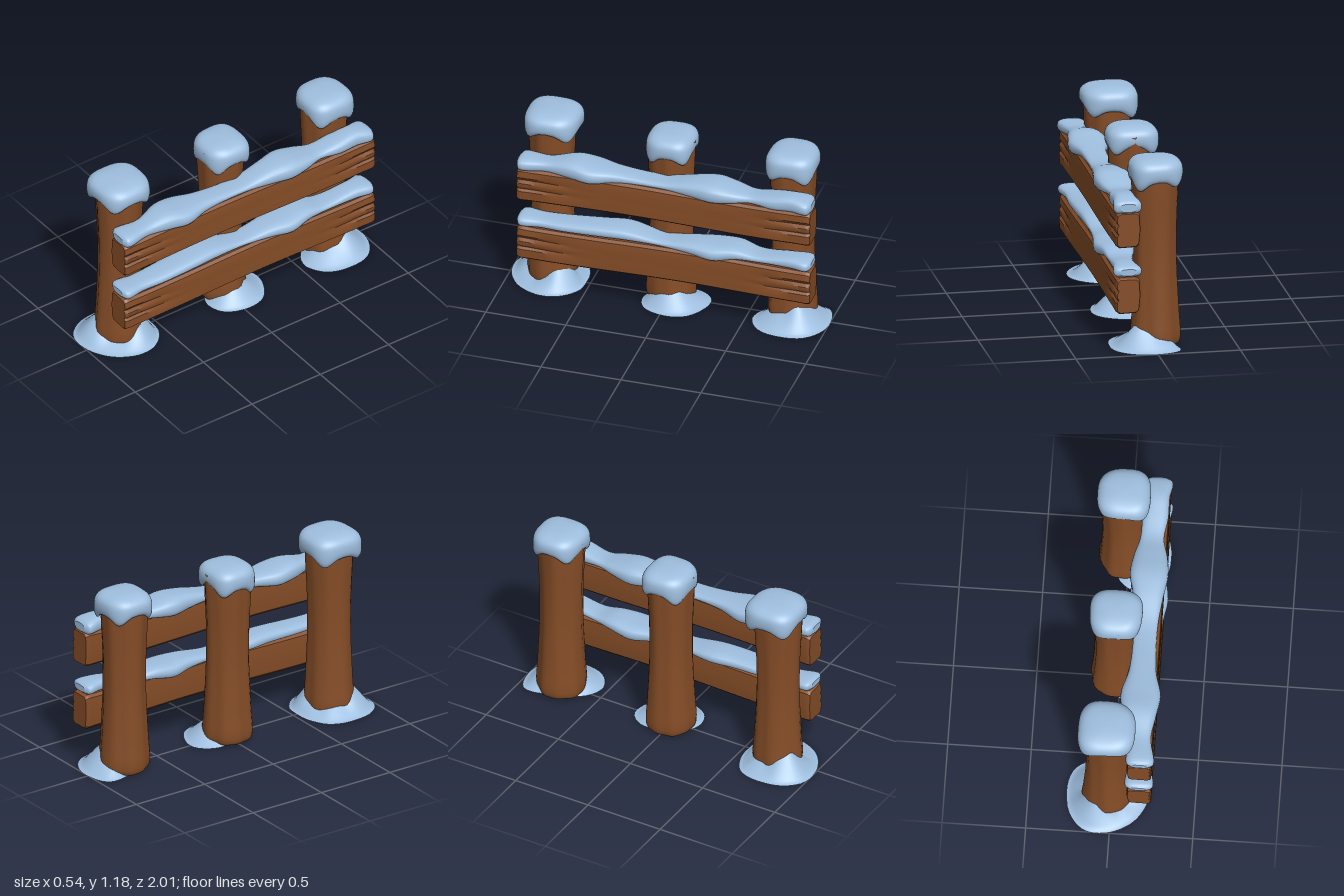
import * as THREE from 'three';
import { toCreasedNormals } from 'three/addons/utils/BufferGeometryUtils.js';

const V = (x, y, z) => new THREE.Vector3(x, y, z);
const TAU = Math.PI * 2;

// Smooth skin through closed cross-sections, resampled to n rings, ends closed by fans
function loft(sections, n, crease) {
  const m = sections[0].length;
  const columns = sections[0].map((_, j) =>
    new THREE.CatmullRomCurve3(sections.map((s) => s[j]), false, 'centripetal'));
  const pts = [], index = [];
  for (let i = 0; i <= n; i++) {
    for (let j = 0; j < m; j++) {
      pts.push(columns[j].getPoint(i / n));
      if (i < n) {
        const a = i * m + j, b = i * m + (j + 1) % m;
        index.push(a, b, a + m, b, b + m, a + m);
      }
    }
  }
  for (const [ring, flip] of [[0, true], [n, false]]) {
    const rim = pts.slice(ring * m, ring * m + m);
    const centre = rim.reduce((s, p) => s.add(p), V(0, 0, 0)).divideScalar(m);
    const start = pts.length;
    pts.push(...rim, centre);
    for (let j = 0; j < m; j++) {
      const a = start + j, b = start + (j + 1) % m;
      index.push(...(flip ? [b, a, start + m] : [a, b, start + m]));
    }
  }
  // Turn the faces outward when the enclosed volume comes out negative
  let volume = 0;
  for (let k = 0; k < index.length; k += 3) {
    volume += pts[index[k]].dot(V(0, 0, 0).crossVectors(pts[index[k + 1]], pts[index[k + 2]]));
  }
  if (volume < 0) index.reverse();
  const geo = new THREE.BufferGeometry().setFromPoints(pts);
  geo.setIndex(index);
  geo.computeVertexNormals();
  return crease ? toCreasedNormals(geo, crease) : geo;
}

// Ring of m points from a rule of the angle
const ring = (m, rule) => Array.from({ length: m }, (_, j) => rule(j / m * TAU));

// Superellipse coordinate, from round (1) to boxy (towards 0)
const sq = (v, p) => Math.sign(v) * Math.abs(v) ** p;

// Tree-trunk post, narrow at the waist with shallow flutes
function postGeometry(phase) {
  const profile = [[0, 0.115], [0.012, 0.138], [0.05, 0.149], [0.2, 0.142], [0.5, 0.129],
    [0.75, 0.13], [0.95, 0.139], [1.1, 0.145]];
  return loft(profile.map(([y, r]) => ring(40, (a) => {
    const k = r * (1 + 0.025 * Math.sin(5 * a + phase + y) + 0.018 * Math.sin(9 * a + 2 * phase - y * 1.5));
    return V(Math.cos(a) * k, y, Math.sin(a) * k);
  })), 28);
}

// Boxy snow cap whose rim droops at the corners
function capGeometry(w, d, top, phase) {
  // [height below the top, scale, droop share]
  const profile = [[0.13, 0.7, 0.9], [0.155, 0.87, 1], [0.135, 0.97, 0.9], [0.085, 1, 0.4],
    [0.045, 0.95, 0.1], [0.018, 0.78, 0], [0.004, 0.45, 0], [0, 0.08, 0]];
  return loft(profile.map(([down, s, droop]) => ring(40, (a) => {
    const wave = 0.024 * Math.cos(4 * a) + 0.012 * Math.sin(a + phase);
    const bump = 1 + 0.02 * Math.sin(3 * a + phase);
    return V(sq(Math.cos(a), 0.68) * w * s * bump, top - down + wave * droop,
      sq(Math.sin(a), 0.68) * d * s * bump);
  })), 22);
}

// Snow drift around a post: [reach, height at the post] every 30 degrees from +x towards +z
function moundGeometry(table) {
  const curve = new THREE.CatmullRomCurve3(table.map(([r, h]) => V(r, h, 0)), true);
  const steps = [[0, 0], [0.02, 0.1], [0.3, 0.36], [0.6, 0.68], [0.85, 0.93], [1, 1]];
  return loft(steps.map(([out, fall]) => ring(48, (a) => {
    const p = curve.getPoint(a / TAU);
    const inner = Math.min(0.115, p.x * 0.9);
    const r = out === 0 ? 0.02 : inner + (p.x - inner) * out;
    return V(Math.cos(a) * r, Math.max(0, p.y * (1 - fall)), Math.sin(a) * r);
  }).reverse()), 14);
}

// Plank with rounded edges, and splits in the outer face near both ends
function boardGeometry(y0, phase) {
  const face = [[0.1, 0.205], [0.12, 0.22], [0.22, 0.22], [0.238, 0.205], [0.243, 0.165],
    [0.23, 0.145], [0.243, 0.125], [0.242, 0.1], [0.231, 0.085], [0.243, 0.07], [0.241, 0.015],
    [0.222, 0], [0.12, 0.003], [0.103, 0.02], [0.094, 0.11]];
  const splits = [5, 8];
  const zs = [-0.943, -0.93, -0.85, -0.7, -0.5, -0.2, 0.1, 0.4, 0.65, 0.8, 0.875, 0.888];
  return loft(zs.map((z, i) => {
    const end = i === 0 || i === zs.length - 1;
    const s = end ? 0.93 : 1;
    const fade = Math.min(1, Math.max(0, (Math.abs(z + 0.03) - 0.5) / 0.3));
    const wave = 0.006 * Math.sin(4 * z + phase);
    return face.map(([x, y], j) => {
      const px = splits.includes(j) ? THREE.MathUtils.lerp(0.242, x, fade) : x;
      return V(0.168 + (px - 0.168) * s, y0 + 0.11 + (y - 0.11) * s + wave, z);
    });
  }), 44, 0.6);
}

// Snow lying on a plank, sections [z, inner x, outer x, bottom, top]
function railSnowGeometry(rows) {
  const first = rows[0], last = rows[rows.length - 1];
  const end = ([z, a, b, lo, hi], dz) =>
    [z + dz, a + (b - a) * 0.2, b - (b - a) * 0.2, lo + (hi - lo) * 0.2, hi - (hi - lo) * 0.2];
  return loft([end(first, -0.022), ...rows, end(last, 0.022)].map(([z, a, b, lo, hi]) =>
    ring(24, (t) => V((a + b) / 2 + sq(Math.cos(t), 0.7) * (b - a) / 2,
      (lo + hi) / 2 + sq(Math.sin(t), 0.75) * (hi - lo) / 2, z))), 60);
}

export function createModel() {
  const wood = new THREE.MeshStandardMaterial({ color: 0x854d27 });
  wood.name = 'brown wood';
  const snow = new THREE.MeshStandardMaterial({ color: 0x9fbfdf });
  snow.name = 'pale blue snow';

  const model = new THREE.Group();
  model.name = 'snowyFence';
  const add = (parent, name, geometry, material, x = 0, z = 0) => {
    const mesh = new THREE.Mesh(geometry, material);
    mesh.name = name;
    mesh.position.set(x, 0, z);
    parent.add(mesh);
  };

  // Three posts with caps and drifts
  const posts = [
    { name: 'front', z: 0.745, cap: [0.172, 0.17, 1.183], capX: -0.008, mound: [
      [0.25, 0.1], [0.24, 0.05], [0.24, 0.06], [0.255, 0.12], [0.275, 0.18], [0.26, 0.15],
      [0.245, 0.09], [0.25, 0.09], [0.23, 0.07], [0.22, 0.09], [0.24, 0.17], [0.25, 0.17]] },
    { name: 'middle', z: 0, cap: [0.158, 0.148, 1.155], capX: 0, mound: [
      [0.25, 0.13], [0.23, 0.09], [0.18, 0.05], [0.12, 0.02], [0.1, 0.01], [0.1, 0.01],
      [0.1, 0.01], [0.1, 0.01], [0.18, 0.03], [0.25, 0.06], [0.26, 0.1], [0.27, 0.13]] },
    { name: 'back', z: -0.755, cap: [0.16, 0.155, 1.17], capX: 0, mound: [
      [0.28, 0.12], [0.28, 0.09], [0.25, 0.07], [0.17, 0.03], [0.1, 0.01], [0.1, 0.01],
      [0.1, 0.01], [0.13, 0.02], [0.23, 0.07], [0.245, 0.1], [0.27, 0.14], [0.29, 0.18]] },
  ];
  posts.forEach(({ name, z, cap, capX, mound }, i) => {
    const group = new THREE.Group();
    group.name = name + 'Post';
    group.position.set(-0.027, 0, z);
    add(group, 'post', postGeometry(i * 2), wood);
    add(group, 'snowCap', capGeometry(...cap, i * 2 + 1), snow, capX, -0.005);
    add(group, 'snowDrift', moundGeometry(mound), snow);
    model.add(group);
  });

  // Two rails with snow on top
  add(model, 'upperRail', boardGeometry(0.655, 0.8), wood);
  add(model, 'lowerRail', boardGeometry(0.25, 2), wood);
  add(model, 'upperRailSnow', railSnowGeometry([
    [-0.92, 0.085, 0.252, 0.86, 0.945], [-0.82, 0.1, 0.24, 0.86, 0.962], [-0.7, 0.085, 0.24, 0.855, 0.945],
    [-0.56, 0.08, 0.222, 0.868, 0.922], [-0.45, 0.05, 0.25, 0.855, 0.942], [-0.33, 0.033, 0.264, 0.838, 0.963],
    [-0.2, 0.06, 0.245, 0.85, 0.953], [0, 0.08, 0.222, 0.87, 0.915], [0.28, 0.07, 0.232, 0.86, 0.932],
    [0.43, 0.03, 0.27, 0.838, 0.948], [0.55, 0.045, 0.255, 0.845, 0.962], [0.71, 0.1, 0.23, 0.862, 0.935],
    [0.87, 0.09, 0.257, 0.86, 0.938]]), snow);
  add(model, 'lowerRailSnow', railSnowGeometry([
    [-0.92, 0.085, 0.252, 0.468, 0.535], [-0.82, 0.1, 0.24, 0.468, 0.542], [-0.6, 0.08, 0.228, 0.468, 0.515],
    [-0.47, 0.045, 0.24, 0.462, 0.54], [-0.33, 0.035, 0.264, 0.438, 0.537], [-0.2, 0.065, 0.245, 0.455, 0.533],
    [0, 0.08, 0.222, 0.47, 0.512], [0.22, 0.045, 0.232, 0.47, 0.545], [0.38, 0.065, 0.24, 0.47, 0.543],
    [0.6, 0.08, 0.24, 0.466, 0.53], [0.75, 0.09, 0.235, 0.468, 0.528], [0.87, 0.085, 0.252, 0.47, 0.535]]), snow);
  return model;
}
